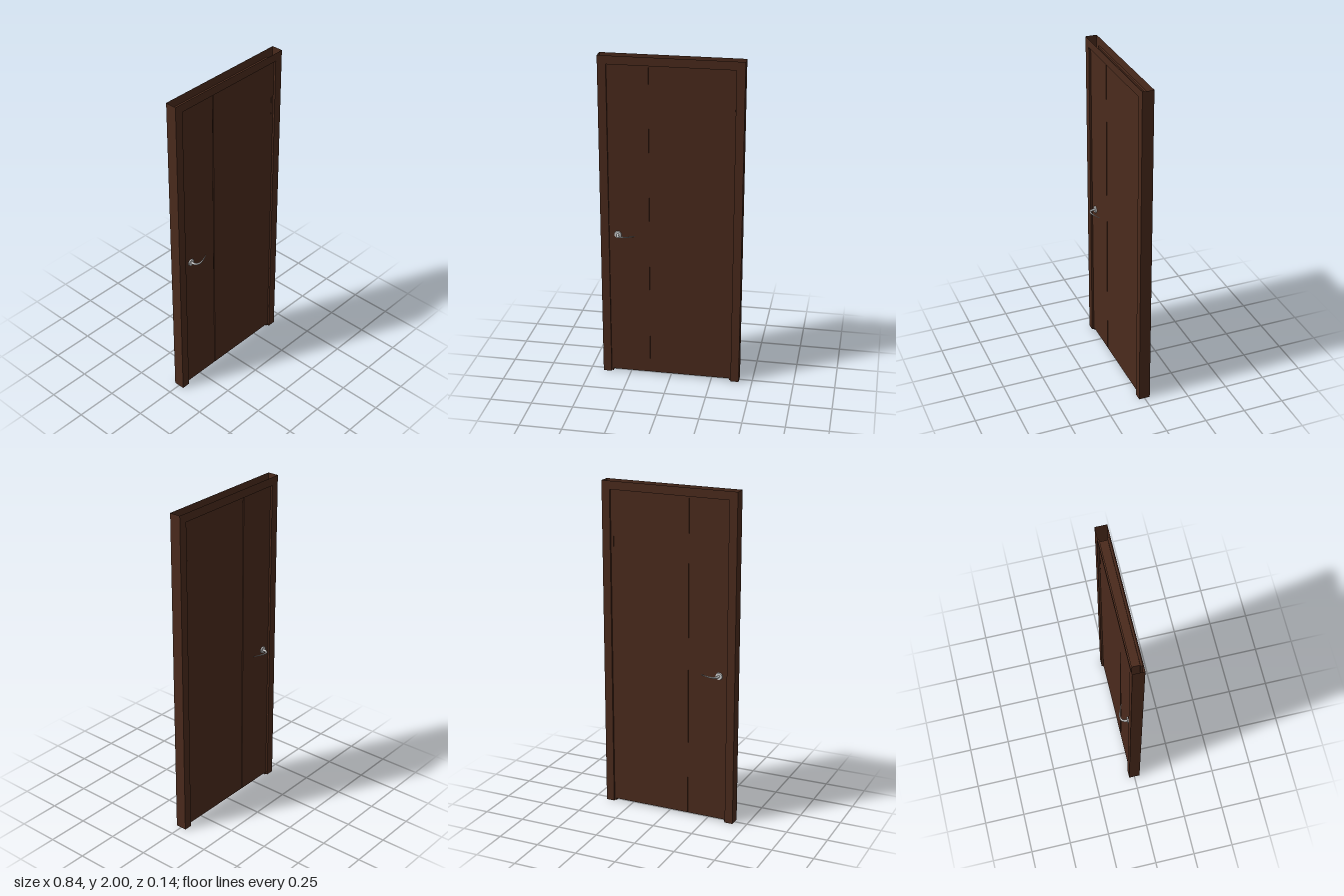
import * as THREE from 'three';

const HALF_W = 0.37, HEAD_Y = 1.95, BORDER = 0.05; // opening and frame border
const DEPTH = 0.034, STOP_Z = 0.022, STOP = 0.01;  // half depths and stop projection
const HANDLE_X = -0.318, HANDLE_Y = 0.915;

const wood = new THREE.MeshStandardMaterial({ color: 0x4a2a1c });
const woodShell = new THREE.MeshStandardMaterial({ color: 0x4a2a1c, side: THREE.DoubleSide });
const metal = new THREE.MeshStandardMaterial({ color: 0xcccccc });

function addMesh(parent, name, geometry, material, x = 0, y = 0, z = 0) {
  const mesh = new THREE.Mesh(geometry, material);
  mesh.name = name;
  mesh.position.set(x, y, z);
  parent.add(mesh);
  return mesh;
}

// Frame moulding: a stepped profile mitred around the two jambs and the head
function frameGeometry() {
  const profile = [
    [BORDER, DEPTH], [0, DEPTH], [0, STOP_Z], [-STOP, STOP_Z],
    [-STOP, -STOP_Z], [0, -STOP_Z], [0, -DEPTH], [BORDER, -DEPTH],
  ];
  const stations = [[-1, 0], [-1, 1], [1, 1], [1, 0]]; // side, at head
  const point = ([side, top], [d, z]) => [side * (HALF_W + d), top * (HEAD_Y + d), z];
  const positions = [];
  for (let s = 0; s < 3; s++) {
    for (let j = 0; j < profile.length - 1; j++) {
      const a = point(stations[s], profile[j]);
      const b = point(stations[s + 1], profile[j]);
      const c = point(stations[s + 1], profile[j + 1]);
      const d = point(stations[s], profile[j + 1]);
      positions.push(...a, ...d, ...c, ...a, ...c, ...b);
    }
  }
  const geometry = new THREE.BufferGeometry();
  geometry.setAttribute('position', new THREE.Float32BufferAttribute(positions, 3));
  geometry.computeVertexNormals();
  return geometry;
}

// Curved lever, thinning to its free end; side is +1 at the front, -1 at the back
function leverGeometry(side) {
  const path = new THREE.CatmullRomCurve3([
    [0, 0.022], [0.001, 0.042], [0.009, 0.058], [0.026, 0.0645],
    [0.052, 0.061], [0.08, 0.051], [0.108, 0.037],
  ].map(([x, z]) => new THREE.Vector3(x, 0, z * side)));
  const steps = 40, sides = 14;
  const geometry = new THREE.TubeGeometry(path, steps, 1, sides);
  const pos = geometry.attributes.position;
  const v = new THREE.Vector3();
  for (let i = 0; i <= steps; i++) {
    const centre = path.getPointAt(i / steps);
    const t = i / steps;
    const radius = i === steps ? 0.0002 : 0.008 - 0.0065 * Math.pow(t, 0.8);
    for (let j = 0; j <= sides; j++) {
      const k = i * (sides + 1) + j;
      v.fromBufferAttribute(pos, k).sub(centre).multiplyScalar(radius).add(centre);
      pos.setXYZ(k, v.x, v.y, v.z);
    }
  }
  return geometry;
}

function createHandle(side) {
  const handle = new THREE.Group();
  handle.name = side > 0 ? 'frontHandle' : 'backHandle';
  handle.position.set(HANDLE_X, HANDLE_Y, 0);
  const rose = addMesh(handle, 'rosette', new THREE.CylinderGeometry(0.02, 0.022, 0.007, 32), metal, 0, 0, side * 0.0255);
  rose.rotation.x = side * Math.PI / 2;
  addMesh(handle, 'lever', leverGeometry(side), metal);
  return handle;
}

export function createModel() {
  const model = new THREE.Group();
  model.name = 'door';

  // Frame, hollow and open at the top and the feet
  const frame = new THREE.Group();
  frame.name = 'frame';
  model.add(frame);
  addMesh(frame, 'frameMoulding', frameGeometry(), woodShell);
  for (const side of [-1, 1]) {
    const wall = addMesh(frame, side > 0 ? 'leftOuterWall' : 'rightOuterWall',
      new THREE.PlaneGeometry(DEPTH * 2, 2), woodShell, side * (HALF_W + BORDER), 1, 0);
    wall.rotation.y = side * Math.PI / 2;
  }

  // Leaf: two panels separated by a groove on both faces
  const leaf = new THREE.Group();
  leaf.name = 'leaf';
  model.add(leaf);
  const edge = HALF_W - STOP, bottom = 0.013, top = HEAD_Y - STOP;
  const addPanel = (name, x0, x1, halfDepth) => addMesh(leaf, name,
    new THREE.BoxGeometry(x1 - x0, top - bottom, halfDepth * 2), wood, (x0 + x1) / 2, (top + bottom) / 2, 0);
  addPanel('narrowPanel', -edge, -0.129, STOP_Z);
  addPanel('groove', -0.129, -0.123, STOP_Z - 0.005);
  addPanel('widePanel', -0.123, edge, STOP_Z);

  // Hinge, showing on both faces
  addMesh(model, 'hinge', new THREE.BoxGeometry(0.016, 0.11, STOP_Z * 2 + 0.004), wood, 0.36, 1.665, 0);

  for (const side of [1, -1]) model.add(createHandle(side));
  return model;
}
